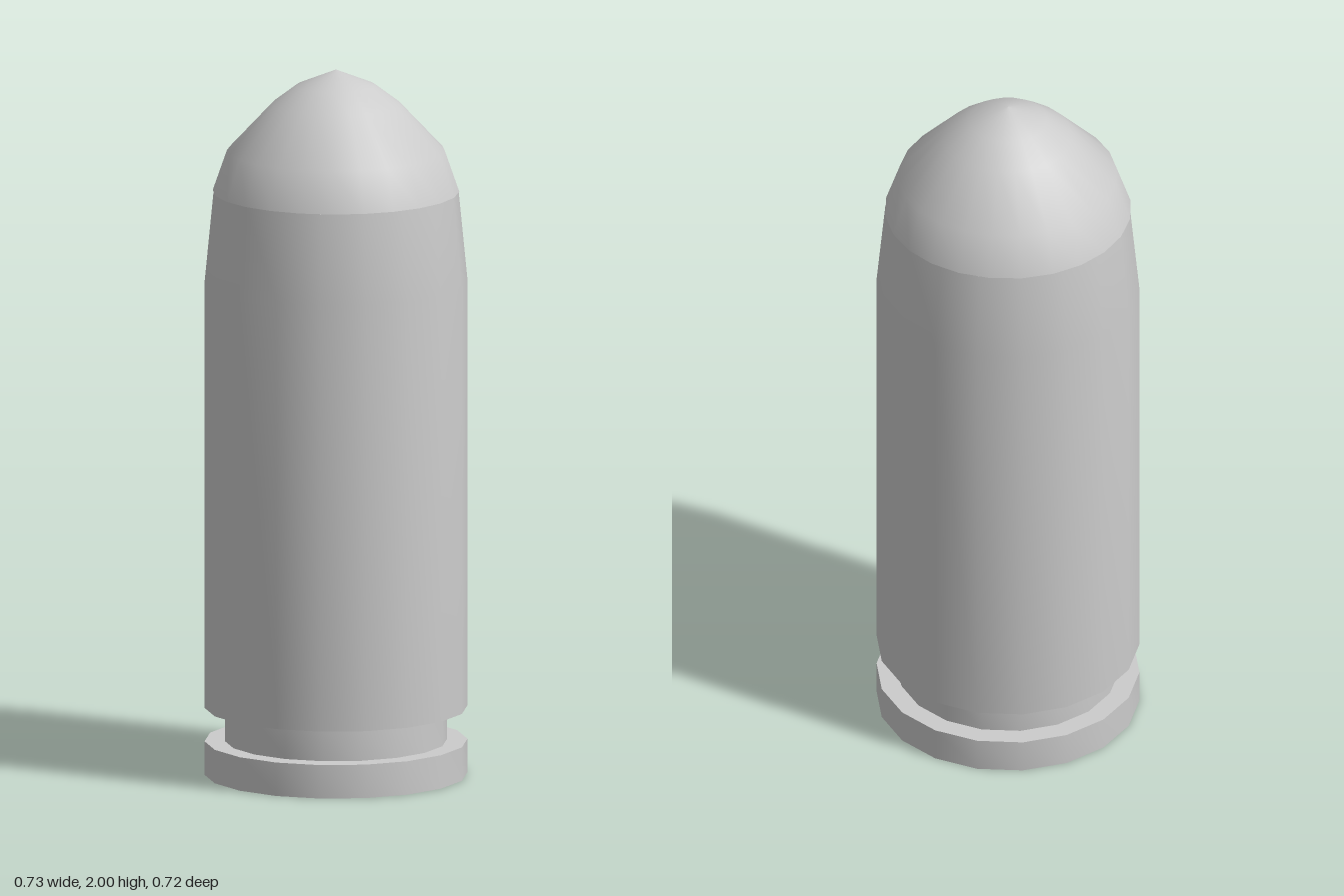
import * as THREE from 'three';
import { toCreasedNormals } from 'three/addons/utils/BufferGeometryUtils.js';

const material = new THREE.MeshStandardMaterial({ color: 0xcccccc });

// Revolve a [radius, height] profile, smooth around but with sharp rims
function turned(name, profile, sides) {
  const points = profile.map(([r, y]) => new THREE.Vector2(r, y));
  const lathe = new THREE.LatheGeometry(points, sides, Math.PI / 2);
  const mesh = new THREE.Mesh(toCreasedNormals(lathe, 0.7), material);
  mesh.name = name;
  return mesh;
}

export function createModel() {
  const group = new THREE.Group();
  group.name = 'cartridge';

  // Flat base rim
  group.add(turned('rim', [[0, 0], [0.367, 0], [0.367, 0.095], [0, 0.095]], 18));

  // Recessed extractor groove between rim and case
  group.add(turned('extractorGroove', [[0.31, 0.095], [0.31, 0.19]], 18));

  // Long case, tapering towards the mouth
  group.add(turned('case', [[0, 0.19], [0.367, 0.19], [0.367, 1.4], [0.342, 1.655], [0, 1.655]], 18));

  // Domed bullet tip
  group.add(turned('bulletTip', [
    [0, 1.655], [0.344, 1.655], [0.304, 1.77], [0.18, 1.902], [0.11, 1.955], [0, 2],
  ], 24));

  return group;
}
